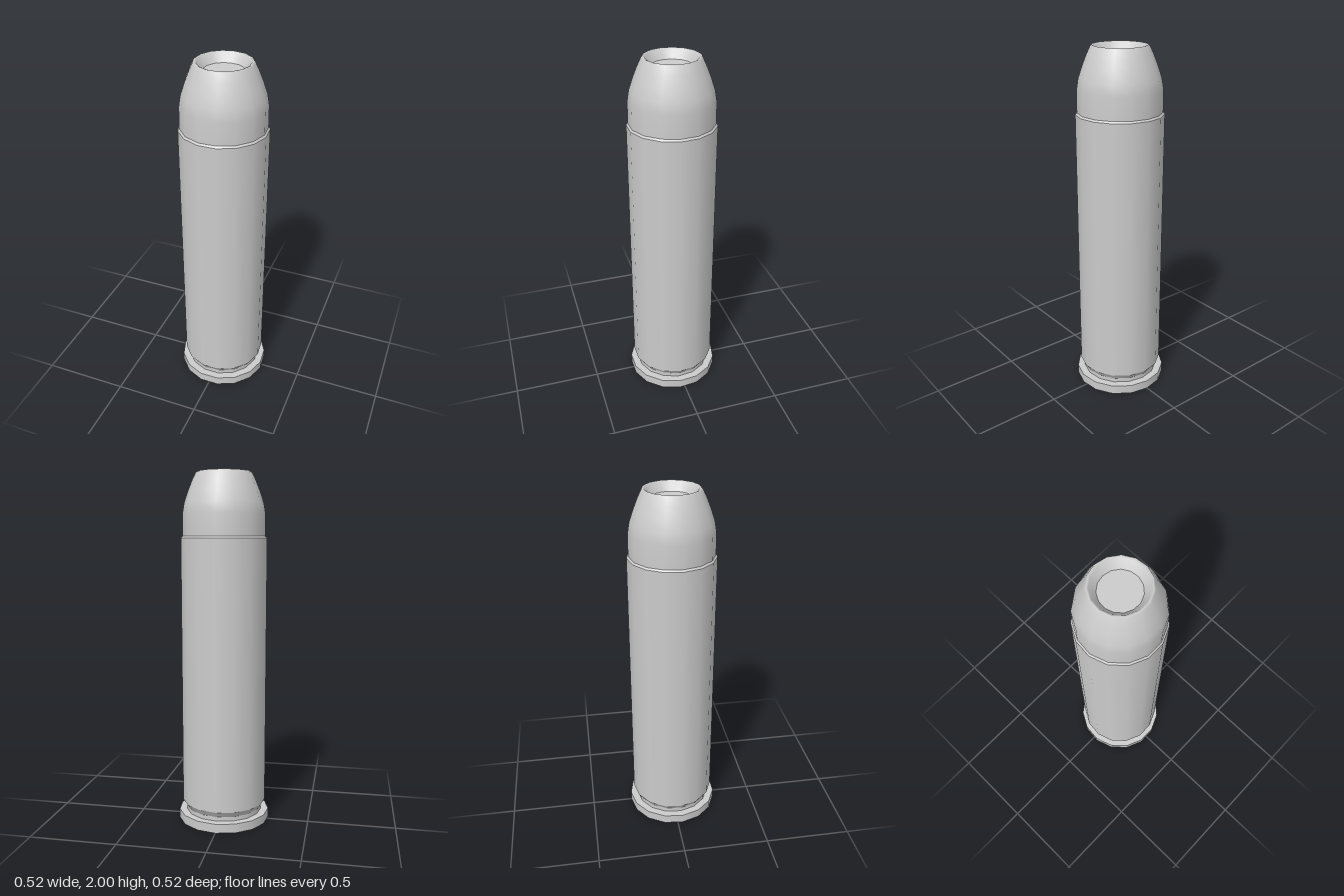
import * as THREE from 'three';

const SIDES = 15;
const material = new THREE.MeshStandardMaterial({ color: 0xcccccc });

// Revolve a profile of [radius, height] points, with a corner towards -z
function turned(name, profile) {
  const points = profile.map(([r, y]) => new THREE.Vector2(r, y));
  const mesh = new THREE.Mesh(new THREE.LatheGeometry(points, SIDES, Math.PI), material);
  mesh.name = name;
  return mesh;
}

// One lathe per profile segment keeps the edges between them sharp
function sharpTurned(name, profile) {
  const group = new THREE.Group();
  group.name = name;
  for (let i = 0; i < profile.length - 1; i++) {
    group.add(turned(name + 'Band' + (i + 1), [profile[i], profile[i + 1]]));
  }
  return group;
}

export function createModel() {
  const model = new THREE.Group();
  model.name = 'cartridge';

  // Base disc, rim and extractor groove
  model.add(sharpTurned('rim', [[0, 0], [0.263, 0], [0.263, 0.053], [0.22, 0.053]]));
  model.add(sharpTurned('extractorGroove', [[0.22, 0.053], [0.22, 0.078], [0.242, 0.112]]));

  // Straight case with a narrow bevelled mouth
  model.add(sharpTurned('case', [[0.242, 0.112], [0.242, 1.638], [0.233, 1.648]]));

  // Rounded bullet nose, rolling over smoothly into the hollow point
  model.add(turned('bullet', [
    [0.233, 1.64], [0.232, 1.77], [0.222, 1.83], [0.2, 1.895],
    [0.178, 1.95], [0.157, 1.994], [0.15, 2], [0.14, 1.996], [0.108, 1.95],
  ]));
  model.add(turned('hollowPointFloor', [[0.108, 1.95], [0, 1.95]]));

  // Centre the odd-sided outline
  model.children.forEach((part) => { part.position.z = 0.003; });
  return model;
}
